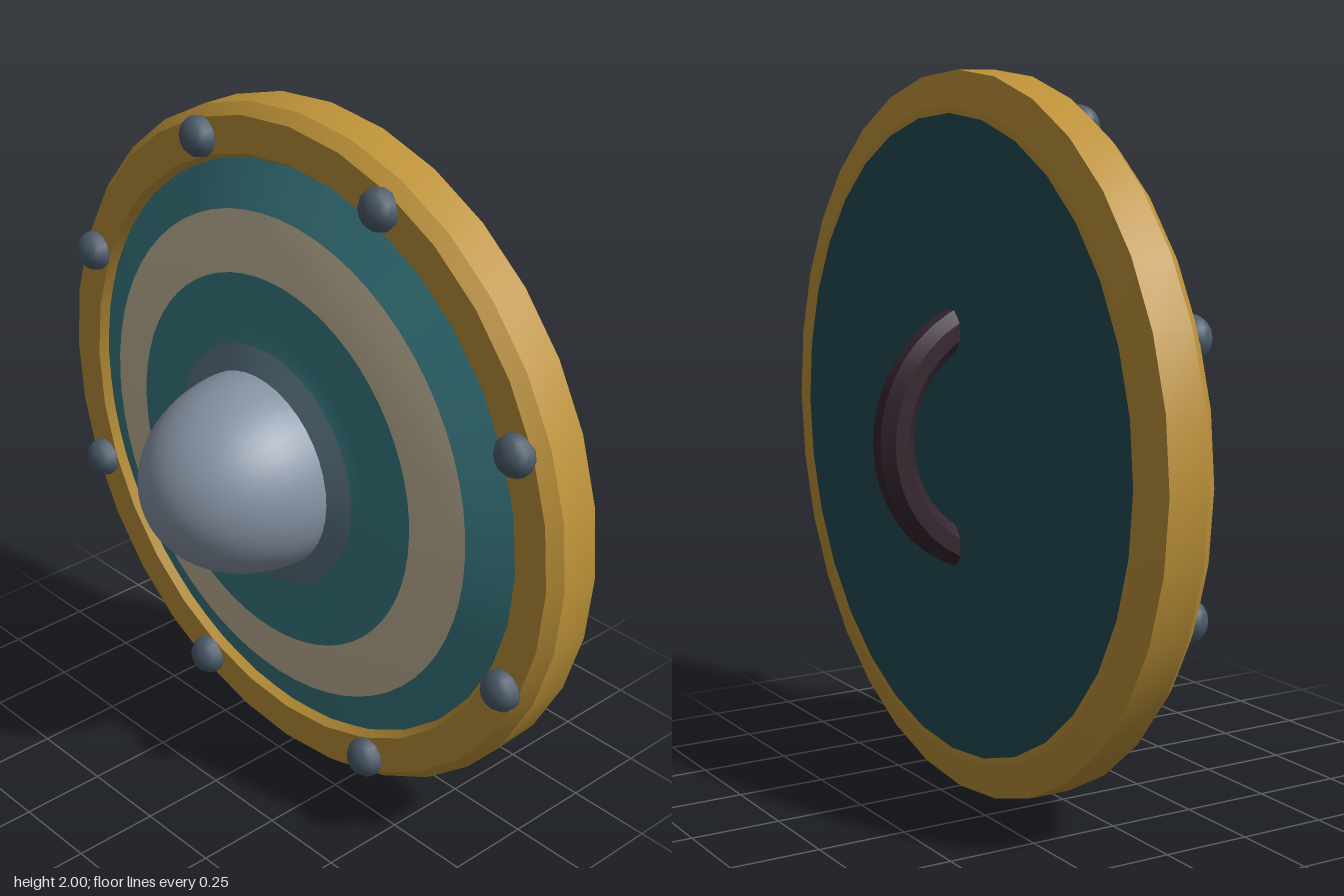
import * as THREE from 'three';
import { toCreasedNormals } from 'three/addons/utils/BufferGeometryUtils.js';

const mat = (name, color) => new THREE.MeshStandardMaterial({ name, color });

export function createModel() {
  const gold = mat('gold', 0xbc9138);
  const teal = mat('teal', 0x3a7c84);
  const darkTeal = mat('dark teal', 0x224b52);
  const cream = mat('cream', 0xc6b99c);
  const steel = mat('steel', 0x8793a4);
  const blend = mat('steel teal', 0x5a7482);
  const iron = mat('rivet iron', 0x4c5c6b);
  const leather = mat('leather', 0x35252f);

  const model = new THREE.Group();
  model.name = 'roundShield';
  const shield = new THREE.Group();
  shield.name = 'shield';
  shield.position.y = 1;
  model.add(shield);

  const add = (name, geometry, material) => {
    const mesh = new THREE.Mesh(geometry, material);
    mesh.name = name;
    shield.add(mesh);
    return mesh;
  };
  // Lathe about the z axis; points are [radius, z] and run from back to front on the outside
  const turned = (points, segments) => new THREE.LatheGeometry(
    points.map(([r, z]) => new THREE.Vector2(r, z)), segments).rotateX(Math.PI / 2);

  // Bevelled rim
  add('rim', toCreasedNormals(turned([
    [0.885, -0.21], [0.905, -0.21], [1, -0.185], [1, -0.068],
    [0.97, -0.032], [0.865, -0.032], [0.84, -0.07],
  ], 32), 0.22), gold);

  // Flat back board
  add('backBoard', turned([[0, -0.21], [0.885, -0.21]], 32), darkTeal);

  // Domed face in painted rings
  add('outerRing', turned([[0.86, -0.062], [0.72, 0.0]], 64), teal);
  add('paintedRing', turned([[0.72, 0.0], [0.63, 0.022], [0.55, 0.034]], 64), cream);
  add('innerRing', turned([[0.55, 0.034], [0.4, 0.046], [0.355, 0.058]], 64), teal);
  add('bossSurround', turned([[0.355, 0.058], [0.28, 0.085]], 64), blend);

  // Rounded central boss
  const dome = [];
  for (let i = 0; i <= 16; i++) {
    const a = (i / 16) * Math.PI / 2;
    dome.push([0.285 * Math.cos(a), 0.08 + 0.36 * Math.sin(a)]);
  }
  add('boss', turned(dome, 40), steel);

  // Eight rivets around the rim
  const rivet = new THREE.SphereGeometry(0.06, 12, 8).rotateX(Math.PI / 2);
  for (let i = 0; i < 8; i++) {
    const a = (i + 0.5) * Math.PI / 4;
    const mesh = add('rivet' + (i + 1), rivet, iron);
    mesh.position.set(0.92 * Math.cos(a), 0.92 * Math.sin(a), -0.022);
    mesh.scale.z = 0.85;
  }

  // Arched grip with an octagonal section
  const section = [];
  for (let i = 0; i <= 8; i++) {
    const a = (i + 0.5) * Math.PI / 4;
    section.push(new THREE.Vector2(0.34 + 0.056 * Math.cos(a), 0.056 * Math.sin(a)));
  }
  const grip = new THREE.LatheGeometry(section, 20, Math.PI / 2, Math.PI).rotateZ(Math.PI / 2);
  add('grip', toCreasedNormals(grip, 0.5), leather).position.z = -0.048;

  return model;
}
